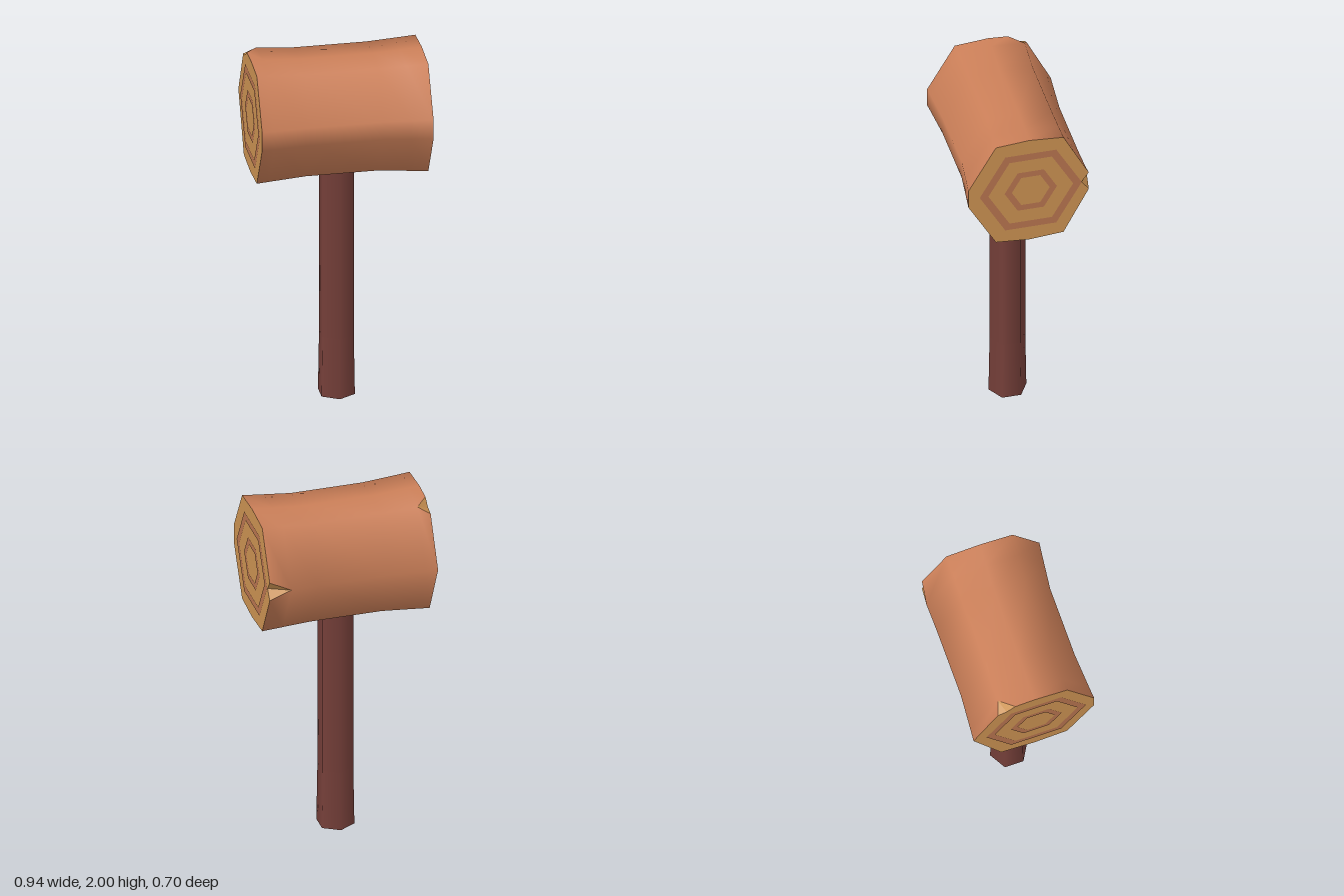
import * as THREE from 'three';
import { mergeVertices } from 'three/addons/utils/BufferGeometryUtils.js';

const mat = (name, color, side = THREE.FrontSide) => {
  const m = new THREE.MeshStandardMaterial({ color, side });
  m.name = name;
  return m;
};

const HEAD_Y = 1.667;

// Hexagonal cross-section as [z, y]; chipped corners have three points that
// fall together on the corner where the wood is whole.
function section(x, s, dz, topChip, sideChip) {
  const top = topChip ? [[-0.105, 0.325], [-0.155, 0.285], [-0.205, 0.272]] : Array(3).fill([-0.185, 0.318]);
  const side = sideChip ? [[-0.325, 0.055], [-0.285, 0], [-0.325, -0.055]] : Array(3).fill([-0.3425, 0]);
  const points = [
    [0.19, 0.318], [0.005, 0.333], ...top, ...side,
    [-0.185, -0.318], [0.005, -0.333], [0.19, -0.318],
    [0.3425, -0.055], [0.3425, 0.055],
  ];
  return points.map(([z, y]) => new THREE.Vector3(x, HEAD_Y + y * s, z * s + dz));
}

// Geometry from a list of triangles, smooth where corners are shared
function fromTriangles(tris, smooth) {
  const real = tris.filter(([a, b, c]) => new THREE.Triangle(a, b, c).getArea() > 1e-7);
  let g = new THREE.BufferGeometry().setFromPoints(real.flat());
  if (smooth) g = mergeVertices(g);
  g.computeVertexNormals();
  return g;
}

export function createModel() {
  const bark = mat('bark', 0xcb7f58);
  const cutWood = mat('cut wood', 0xcb9252);
  const ringWood = mat('growth ring', 0xb8744f);
  const darkWood = mat('dark handle wood', 0x753f39);

  const model = new THREE.Group();
  model.name = 'mallet';
  const add = (name, geometry, material, parent = model) => {
    const mesh = new THREE.Mesh(geometry, material);
    mesh.name = name;
    parent.add(mesh);
    return mesh;
  };

  // Head: waisted log with flared ends
  const head = new THREE.Group();
  head.name = 'head';
  model.add(head);
  const rings = [
    section(-0.467, 1, -0.0075, true, false),
    section(-0.4, 0.985, -0.007, false, false),
    section(-0.2, 0.945, -0.005, false, false),
    section(0.2, 0.945, -0.005, false, false),
    section(0.35, 0.975, 0.002, false, false),
    section(0.467, 1, 0.0075, false, true),
  ];
  const n = rings[0].length;
  const last = rings.length - 1;
  const wall = [], chips = [];
  for (let k = 0; k < last; k++) {
    for (let i = 0; i < n; i++) {
      const j = (i + 1) % n;
      const [a, b, c, d] = [rings[k][i], rings[k][j], rings[k + 1][i], rings[k + 1][j]];
      const chipped = (k === 0 && (i === 2 || i === 3)) || (k === last - 1 && (i === 5 || i === 6));
      (chipped ? chips : wall).push([a, c, b], [b, c, d]);
    }
  }
  add('headBark', fromTriangles(wall, true), bark, head);
  add('chippedCorners', fromTriangles(chips, false), cutWood, head);

  // Cut ends with two hexagonal growth rings each
  for (const [name, ring, dir] of [['rightEnd', rings[0], -1], ['leftEnd', rings[last], 1]]) {
    const centre = new THREE.Vector3(ring[0].x, HEAD_Y, 0);
    const fan = ring.map((p, i) => {
      const q = ring[(i + 1) % n];
      return dir > 0 ? [centre, q, p] : [centre, p, q];
    });
    add(name, fromTriangles(fan, false), cutWood, head);
    for (const [inner, outer] of [[0.105, 0.145], [0.235, 0.283]]) {
      const band = add(name + 'GrowthRing', new THREE.RingGeometry(inner, outer, 6), ringWood, head);
      band.rotation.y = dir * Math.PI / 2;
      band.position.set(centre.x + dir * 0.003, HEAD_Y, 0.005);
    }
  }

  // Handle: six-sided shaft, slightly thicker at the foot
  const handle = new THREE.Group();
  handle.name = 'handle';
  handle.position.z = 0.012;
  model.add(handle);
  add('handleFoot', new THREE.CylinderGeometry(0.099, 0.105, 0.35, 6, 1, true), darkWood, handle).position.y = 0.175;
  add('handleShaft', new THREE.CylinderGeometry(0.099, 0.099, 1.1, 6, 1, true), darkWood, handle).position.y = 0.9;
  const base = add('handleBase', new THREE.CircleGeometry(0.105, 6, Math.PI / 2), bark, handle);
  base.rotation.x = Math.PI / 2;

  return model;
}
